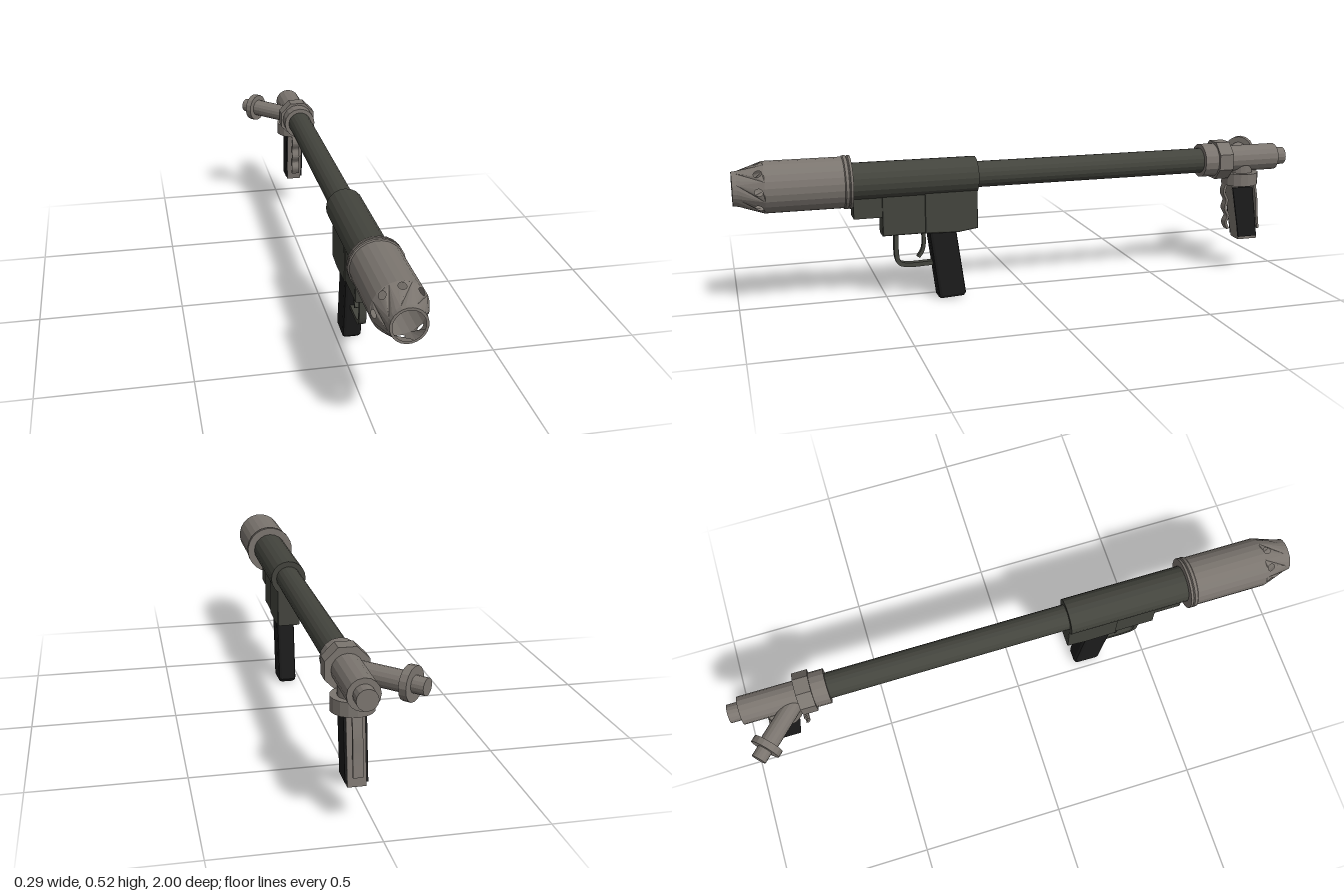
import * as THREE from 'three';
import { mergeGeometries } from 'three/addons/utils/BufferGeometryUtils.js';

const CX = 0.053, CY = 0.43; // barrel axis

export function createModel() {
  const model = new THREE.Group();
  const mat = (name, color, side = THREE.FrontSide) =>
    new THREE.MeshStandardMaterial({ name, color, side, flatShading: true });
  const steel = mat('greySteel', 0x7b756f, THREE.DoubleSide);
  const gunmetal = mat('darkGunmetal', 0x43443d);
  const black = mat('blackGrip', 0x1b1b1b);

  const add = (name, geo, material, parent = model) => {
    const m = new THREE.Mesh(geo, material);
    m.name = name;
    parent.add(m);
    return m;
  };
  // Cylinder on the barrel axis between two z positions
  const rod = (name, r, z0, z1, material, sides = 20) =>
    add(name, new THREE.CylinderGeometry(r, r, z1 - z0, sides).rotateX(Math.PI / 2)
      .translate(CX, CY, (z0 + z1) / 2), material);
  // Side outline given as [z, y] points, extruded across the width
  const plate = (name, pts, width, material, bevel = 0, x = CX) => {
    const shape = new THREE.Shape(pts.map(p => new THREE.Vector2(p[0], p[1])));
    const geo = new THREE.ExtrudeGeometry(shape, {
      depth: width - 2 * bevel, bevelEnabled: bevel > 0, bevelSize: bevel,
      bevelThickness: bevel, bevelOffset: -bevel, bevelSegments: 2,
    });
    geo.rotateY(-Math.PI / 2).translate(x + width / 2 - bevel, 0, 0);
    return add(name, geo, material);
  };
  // Bent metal strip following a [z, y] path
  const strip = (name, path, thick, width, material, n = 20) => {
    const curve = new THREE.CatmullRomCurve3(
      path.map(p => new THREE.Vector3(p[0], p[1], 0)), false, 'centripetal');
    const a = [], b = [];
    for (let i = 0; i <= n; i++) {
      const p = curve.getPoint(i / n), t = curve.getTangent(i / n);
      a.push([p.x - t.y * thick / 2, p.y + t.x * thick / 2]);
      b.unshift([p.x + t.y * thick / 2, p.y - t.x * thick / 2]);
    }
    return plate(name, [...a, ...b], width, material);
  };

  // Barrel and receiver
  rod('barrel', 0.045, -0.67, 0.2, gunmetal);
  rod('receiverTube', 0.064, 0.19, 0.625, gunmetal);

  // Muzzle: hollow sleeve, flange, perforated taper and rounded lip
  const ringProfile = (name, pts) => add(name,
    new THREE.LatheGeometry(pts.map(p => new THREE.Vector2(p[0], p[1])), 24, Math.PI / 24)
      .rotateX(Math.PI / 2).translate(CX, CY, 0), steel);
  ringProfile('muzzleSleeve', [[0.04, 0.618], [0.09, 0.618], [0.09, 0.626], [0.086, 0.629],
    [0.09, 0.632], [0.09, 0.642], [0.086, 0.645], [0.086, 0.9]]);
  ringProfile('muzzleLip', [[0.058, 0.985], [0.056, 1], [0.048, 1]]);
  rod('muzzleCore', 0.05, 0.62, 0.8, steel);

  const sector = Math.PI / 4, len = sector * 0.086, depth = 0.085;
  const sectors = [];
  for (let k = 0; k < 8; k++) {
    const outline = [];
    for (let i = 0; i <= 3; i++) outline.push(new THREE.Vector2(len * i / 3, 0));
    for (let i = 3; i >= 0; i--) outline.push(new THREE.Vector2(len * i / 3, depth));
    const shape = new THREE.Shape(outline);
    shape.holes.push(new THREE.Path().absarc(len / 2, 0.019, 0.013, 0, Math.PI * 2, true));
    const geo = new THREE.ShapeGeometry(shape, 8);
    const pos = geo.attributes.position;
    for (let i = 0; i < pos.count; i++) {
      const a = -(pos.getX(i) / len - 0.5 + k) * sector, v = pos.getY(i);
      const r = THREE.MathUtils.lerp(0.086, 0.058, v / depth);
      pos.setXYZ(i, CX + r * Math.sin(a), CY + r * Math.cos(a), 0.9 + v);
    }
    geo.computeVertexNormals();
    sectors.push(geo);
  }
  add('perforatedTaper', mergeGeometries(sectors), steel);

  // Lower housing
  plate('frontHousing', [[0.615, 0.4], [0.615, 0.308], [0.5, 0.308], [0.5, 0.4]], 0.066, gunmetal);
  plate('middleHousing', [[0.52, 0.4], [0.52, 0.242], [0.36, 0.242], [0.36, 0.4]], 0.074, gunmetal, 0.006);
  plate('rearHousing', [[0.375, 0.42], [0.375, 0.242], [0.26, 0.238], [0.19, 0.248], [0.19, 0.42]],
    0.083, gunmetal, 0.006);

  // Trigger group and main grip
  strip('triggerGuard', [[0.47, 0.25], [0.47, 0.16], [0.462, 0.138], [0.44, 0.129], [0.34, 0.129]],
    0.015, 0.024, gunmetal);
  strip('trigger', [[0.378, 0.25], [0.374, 0.21], [0.38, 0.175], [0.395, 0.152]], 0.012, 0.016, gunmetal);
  plate('mainGrip', [[0.362, 0.25], [0.33, 0.008], [0.322, 0], [0.24, 0.004], [0.232, 0.016], [0.265, 0.25]],
    0.066, black, 0.012);

  // Rear coupling and valve body
  rod('couplingSleeve', 0.061, -0.72, -0.66, steel, 16);
  rod('couplingNut', 0.073, -0.765, -0.712, steel, 8).geometry
    .translate(-CX, -CY, 0).rotateZ(Math.PI / 8).translate(CX, CY, 0);
  rod('valveBody', 0.049, -0.96, -0.76, steel, 16);
  rod('rearCap', 0.032, -1, -0.955, steel, 16);

  // Side inlet angled backwards to the right
  const inlet = new THREE.Group();
  inlet.name = 'sideInlet';
  inlet.position.set(CX, CY, -0.755);
  inlet.rotation.y = -Math.PI * 0.75;
  model.add(inlet);
  [['inletPipe', 0.032, 0, 0.2], ['inletFlange', 0.053, 0.197, 0.221], ['inletTip', 0.026, 0.22, 0.26]]
    .forEach(([name, r, a, b]) => add(name, new THREE.CylinderGeometry(r, r, b - a, 16)
      .rotateX(Math.PI / 2).translate(0, 0, (a + b) / 2), steel, inlet));

  // Rear grip: round mount, steel frame, black side panels and levers
  add('gripMount', new THREE.CylinderGeometry(0.066, 0.066, 0.045, 16)
    .translate(CX, 0.357, -0.828), steel);
  add('gripNeck', new THREE.CylinderGeometry(0.045, 0.045, 0.05, 16)
    .translate(CX, 0.385, -0.828), steel);
  plate('rearGripFrame', [[-0.782, 0.34], [-0.82, 0.124], [-0.897, 0.124], [-0.868, 0.34]], 0.056, steel);
  for (const s of [-1, 1])
    plate('gripPanel', [[-0.785, 0.325], [-0.818, 0.135], [-0.892, 0.135], [-0.865, 0.325]],
      0.008, black, 0, CX + s * 0.03);
  strip('frontLever', [[-0.772, 0.345], [-0.762, 0.305], [-0.775, 0.275], [-0.768, 0.245],
    [-0.782, 0.215], [-0.773, 0.19], [-0.783, 0.165]], 0.009, 0.03, steel, 30);
  strip('backLever', [[-0.882, 0.345], [-0.895, 0.28], [-0.9, 0.22], [-0.908, 0.158]],
    0.008, 0.03, steel);

  return model;
}
